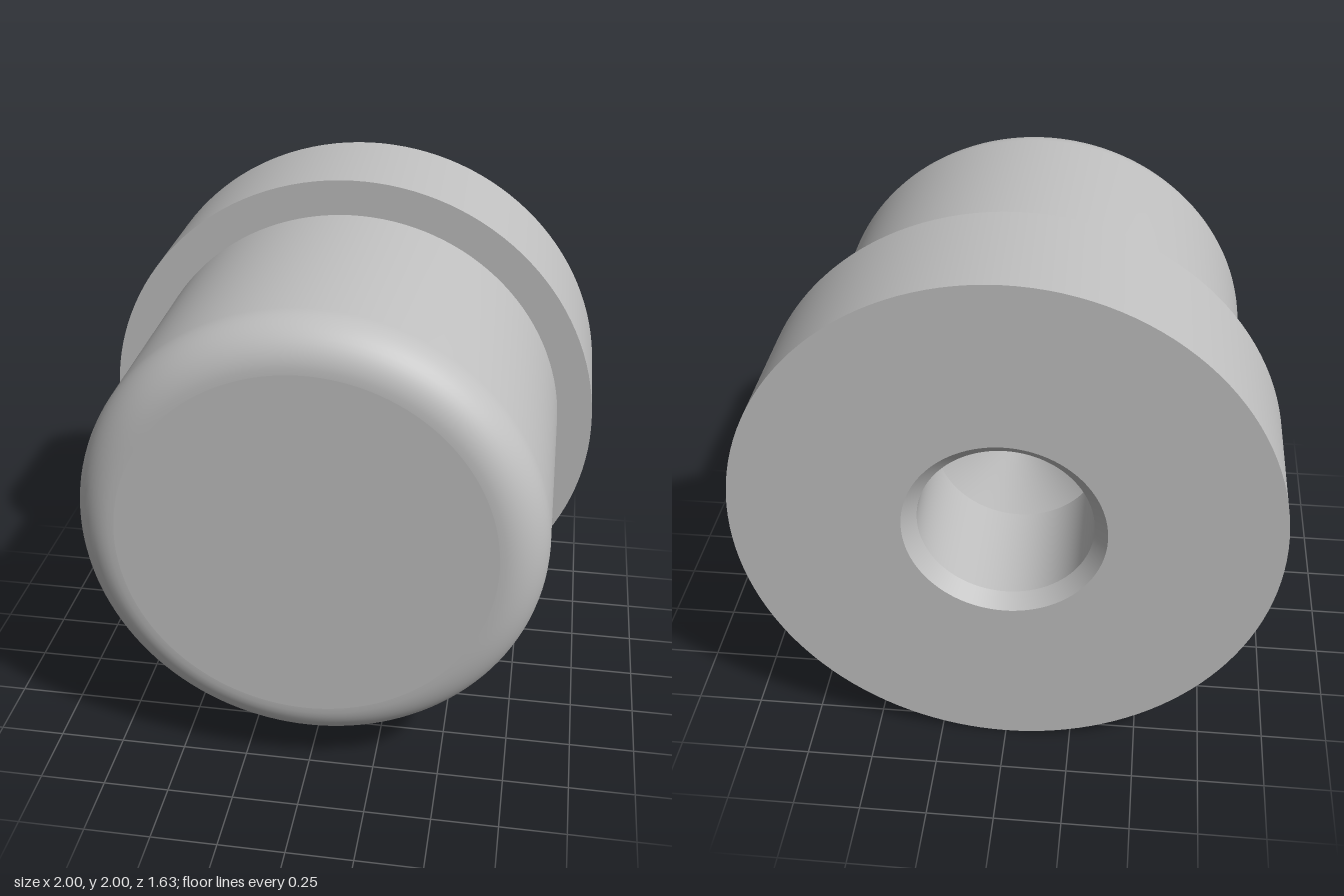
import * as THREE from 'three';
import { toCreasedNormals } from 'three/addons/utils/BufferGeometryUtils.js';

const SEGMENTS = 128;
const BACK = -0.815, STEP = -0.295, FRONT = 0.815;
const FLANGE_R = 1, BODY_R = 0.86, FILLET = 0.17;
const BORE_R = 0.32, CHAMFER = 0.05, BORE_DEPTH = 0.51, TIP_DEPTH = 0.19;

const steel = new THREE.MeshStandardMaterial({ color: 0xc0c0c0 });
steel.name = 'plain grey';

// Turn a [radius, z] profile around the z axis, with sharp edges kept
function turned(name, profile) {
  const points = profile.map(([r, z]) => new THREE.Vector2(r, z));
  const geometry = toCreasedNormals(new THREE.LatheGeometry(points, SEGMENTS), 0.5);
  geometry.rotateX(Math.PI / 2);
  const mesh = new THREE.Mesh(geometry, steel);
  mesh.name = name;
  return mesh;
}

export function createModel() {
  const model = new THREE.Group();
  model.name = 'flangedPlug';

  // Blind drilled hole with a conical end and a chamfered mouth
  model.add(turned('drilledHole', [
    [0, BACK + BORE_DEPTH + TIP_DEPTH],
    [BORE_R, BACK + BORE_DEPTH],
    [BORE_R, BACK + CHAMFER],
    [BORE_R + CHAMFER, BACK],
  ]));

  // Wide collar at the back
  model.add(turned('flange', [
    [BORE_R + CHAMFER, BACK],
    [FLANGE_R, BACK],
    [FLANGE_R, STEP],
    [BODY_R, STEP],
  ]));

  // Cylindrical body with a rounded front rim
  const body = [[BODY_R, STEP]];
  for (let i = 0; i <= 12; i++) {
    const a = (i / 12) * Math.PI / 2;
    body.push([BODY_R - FILLET + FILLET * Math.cos(a), FRONT - FILLET + FILLET * Math.sin(a)]);
  }
  model.add(turned('body', body));

  // Flat front face
  const face = new THREE.Mesh(new THREE.CircleGeometry(BODY_R - FILLET, SEGMENTS), steel);
  face.name = 'frontFace';
  face.position.z = FRONT;
  model.add(face);

  // Rest the flange on the ground
  for (const part of model.children) part.position.y = FLANGE_R;
  return model;
}
